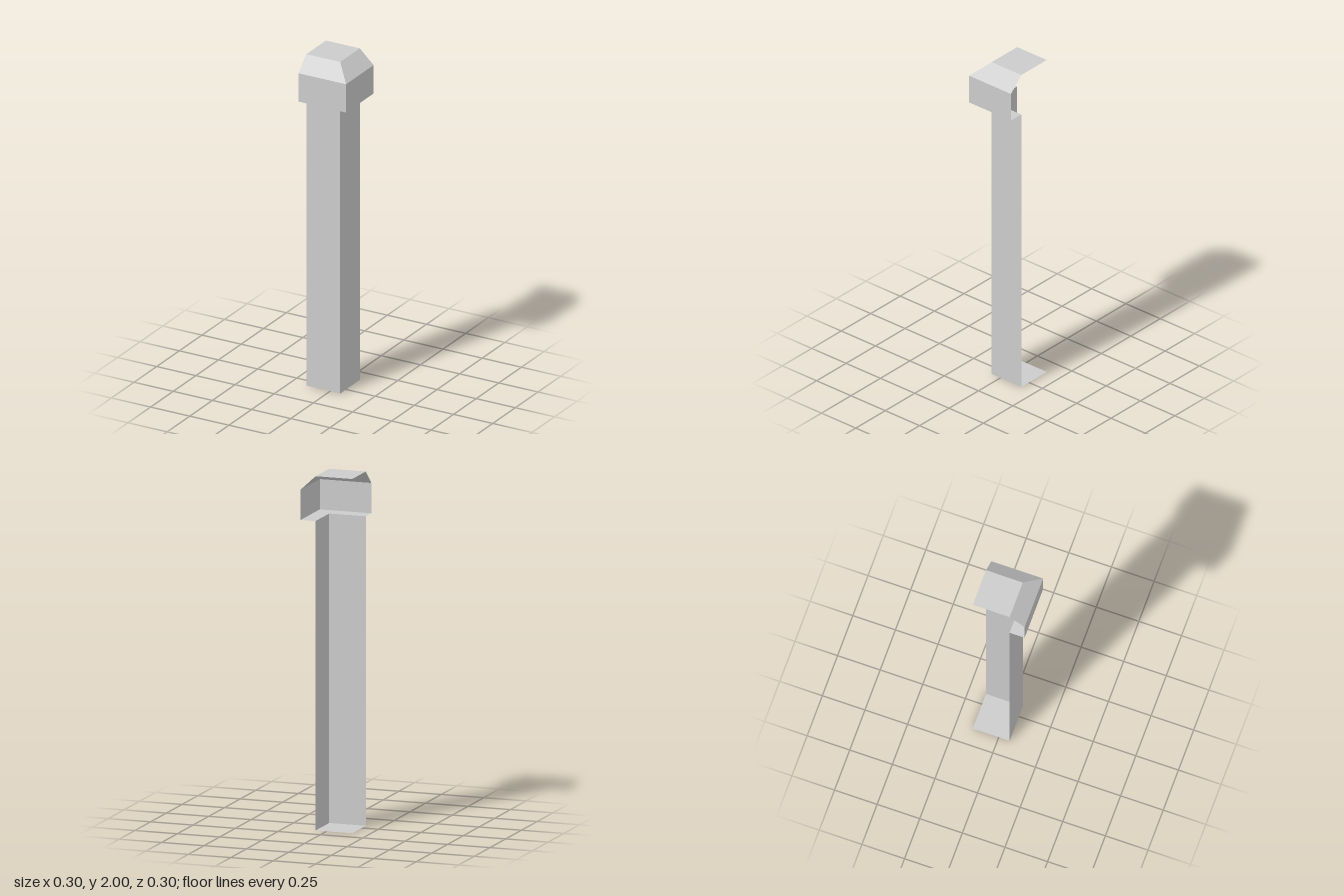
import * as THREE from 'three';

const OPEN = -0.152; // plane of the two open sides (back and -x)
const POST = 0.064;  // outer face of the post
const HEAD = 0.152;  // outer face of the overhanging head

const material = new THREE.MeshStandardMaterial({
  color: 0xcccccc, flatShading: true, side: THREE.DoubleSide,
});

// Open corner band: a front and a side panel, mitred where they meet
function cornerBand(name, r0, y0, r1, y1) {
  const a = [OPEN, y0, r0], b = [r0, y0, r0], c = [r0, y0, OPEN];
  const d = [OPEN, y1, r1], e = [r1, y1, r1], f = [r1, y1, OPEN];
  const geometry = new THREE.BufferGeometry();
  const corners = [a, b, e, a, e, d, b, c, f, b, f, e].flat();
  geometry.setAttribute('position', new THREE.Float32BufferAttribute(corners, 3));
  geometry.computeVertexNormals();
  const mesh = new THREE.Mesh(geometry, material);
  mesh.name = name;
  return mesh;
}

// Flat square cap across the post, facing up (+1) or down (-1)
function cap(name, y, facing) {
  const size = POST - OPEN, mid = (POST + OPEN) / 2;
  const geometry = new THREE.PlaneGeometry(size, size).rotateX(-facing * Math.PI / 2);
  const mesh = new THREE.Mesh(geometry, material);
  mesh.position.set(mid, y, mid);
  mesh.name = name;
  return mesh;
}

export function createModel() {
  const model = new THREE.Group();
  model.name = 'cornerPost';
  model.add(
    cap('bottomCap', 0, -1),
    cornerBand('postWalls', POST, 0, POST, 1.747),
    cornerBand('headUnderside', POST, 1.747, HEAD, 1.747),
    cornerBand('headWalls', HEAD, 1.747, HEAD, 1.918),
    cornerBand('headBevel', HEAD, 1.918, POST, 2),
    cap('topCap', 2, 1),
  );
  return model;
}
